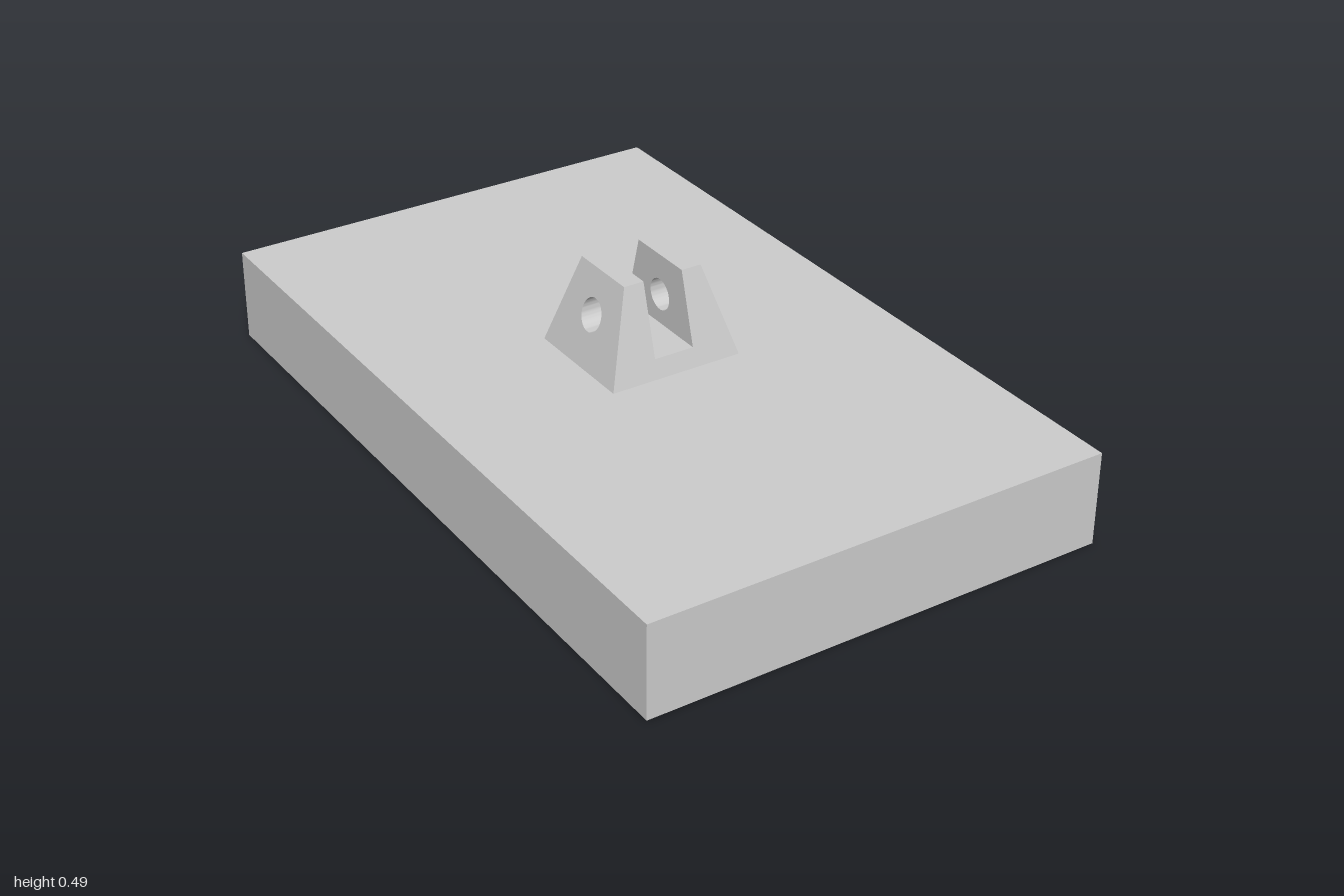
import * as THREE from 'three';
import { toCreasedNormals } from 'three/addons/utils/BufferGeometryUtils.js';

const BASE_TOP = 0.25, TOP = 0.49, SLOT_FLOOR = 0.3, SLOT_HALF = 0.055;
const taper = (bottom, top, y) => bottom + (top - bottom) * (y - BASE_TOP) / (TOP - BASE_TOP);
const halfWidth = y => taper(0.183, 0.11, y);
const halfDepth = y => taper(0.163, 0.097, y);

// Side outline of the tapered bracket up to a given height
function sideShape(top) {
  const b = halfDepth(BASE_TOP), t = halfDepth(top);
  return new THREE.Shape([
    new THREE.Vector2(-b, BASE_TOP), new THREE.Vector2(b, BASE_TOP),
    new THREE.Vector2(t, top), new THREE.Vector2(-t, top),
  ]);
}

// Extrude the outline along x; inner and outer give x at each height
function extrudeAcross(shape, inner, outer) {
  const geo = new THREE.ExtrudeGeometry(shape, { depth: 1, bevelEnabled: false, curveSegments: 32 });
  const p = geo.attributes.position;
  for (let i = 0; i < p.count; i++) {
    const z = -p.getX(i), y = p.getY(i);
    p.setXYZ(i, p.getZ(i) < 0.5 ? inner(y) : outer(y), y, z);
  }
  return toCreasedNormals(geo, 0.6);
}

export function createModel() {
  const model = new THREE.Group();
  const material = new THREE.MeshStandardMaterial({ color: 0xcccccc });
  const add = (name, geo, parent) => {
    const mesh = new THREE.Mesh(geo, material);
    mesh.name = name;
    parent.add(mesh);
    return mesh;
  };

  // Flat slab
  add('basePlate', new THREE.BoxGeometry(1.25, BASE_TOP, 2), model).position.y = BASE_TOP / 2;

  // Clevis bracket: two drilled, tapered cheeks joined by the slot floor
  const bracket = new THREE.Group();
  bracket.name = 'bracket';
  model.add(bracket);

  const cheekShape = sideShape(TOP);
  cheekShape.holes.push(new THREE.Path().absarc(0, 0.38, 0.042, 0, Math.PI * 2, true));
  const cheek = extrudeAcross(cheekShape, () => SLOT_HALF, halfWidth);
  add('leftCheek', cheek, bracket);
  add('rightCheek', cheek, bracket).rotation.y = Math.PI;

  add('slotFloor', extrudeAcross(sideShape(SLOT_FLOOR), () => -SLOT_HALF, () => SLOT_HALF), bracket);

  return model;
}
